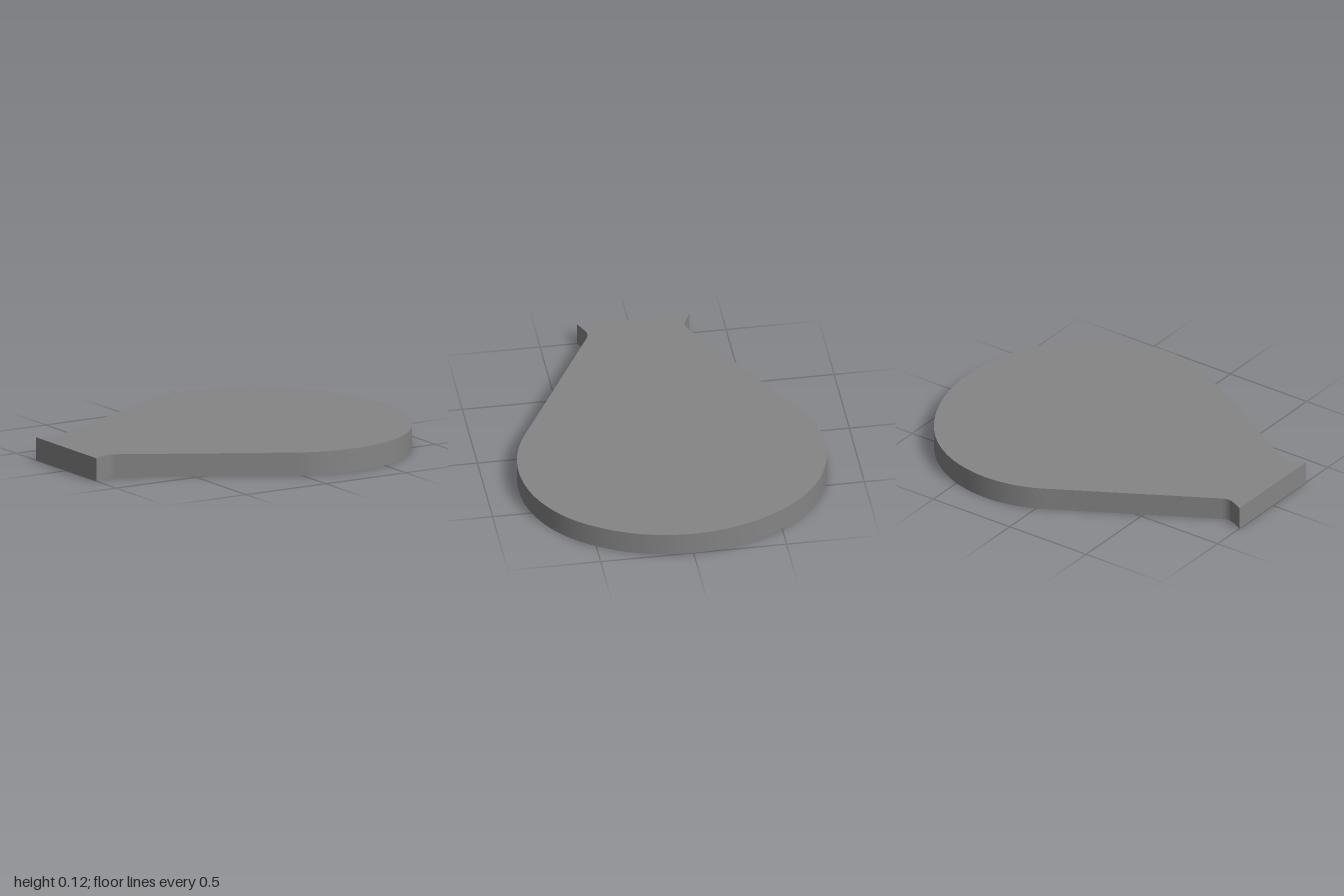
import * as THREE from 'three';
import { toCreasedNormals } from 'three/addons/utils/BufferGeometryUtils.js';

const THICKNESS = 0.125;

// One half of the outline, from the flared tail to the rounded nose
function halfOutline() {
  const slope = THREE.MathUtils.degToRad(29.5);
  const join = Math.atan2(0.165, 0.22); // where the shoulder arc meets the nose arc
  const path = new THREE.Path();
  path.moveTo(-1, 0.302);
  path.lineTo(-0.94, 0.272);
  path.quadraticCurveTo(-0.9, 0.252, -0.86, 0.275); // rounded neck
  path.absarc(0.285, 0.165, 0.66, Math.PI / 2 + slope, join, true); // straight flank, then shoulder
  path.absarc(0.065, 0, 0.935, join, 0, true); // nose
  return path.getPoints(40);
}

export function createModel() {
  const group = new THREE.Group();
  group.name = 'paddlePlate';

  const half = halfOutline();
  const mirrored = half.slice(0, -1).reverse().map((p) => new THREE.Vector2(p.x, -p.y));
  const shape = new THREE.Shape([...half, ...mirrored]);

  // Flat slab lying on the ground
  const slab = new THREE.ExtrudeGeometry(shape, { depth: THICKNESS, bevelEnabled: false });
  slab.rotateX(-Math.PI / 2);

  const plate = new THREE.Mesh(
    toCreasedNormals(slab, Math.PI / 6),
    new THREE.MeshStandardMaterial({ color: 0x858585 })
  );
  plate.name = 'plate';
  group.add(plate);
  return group;
}
